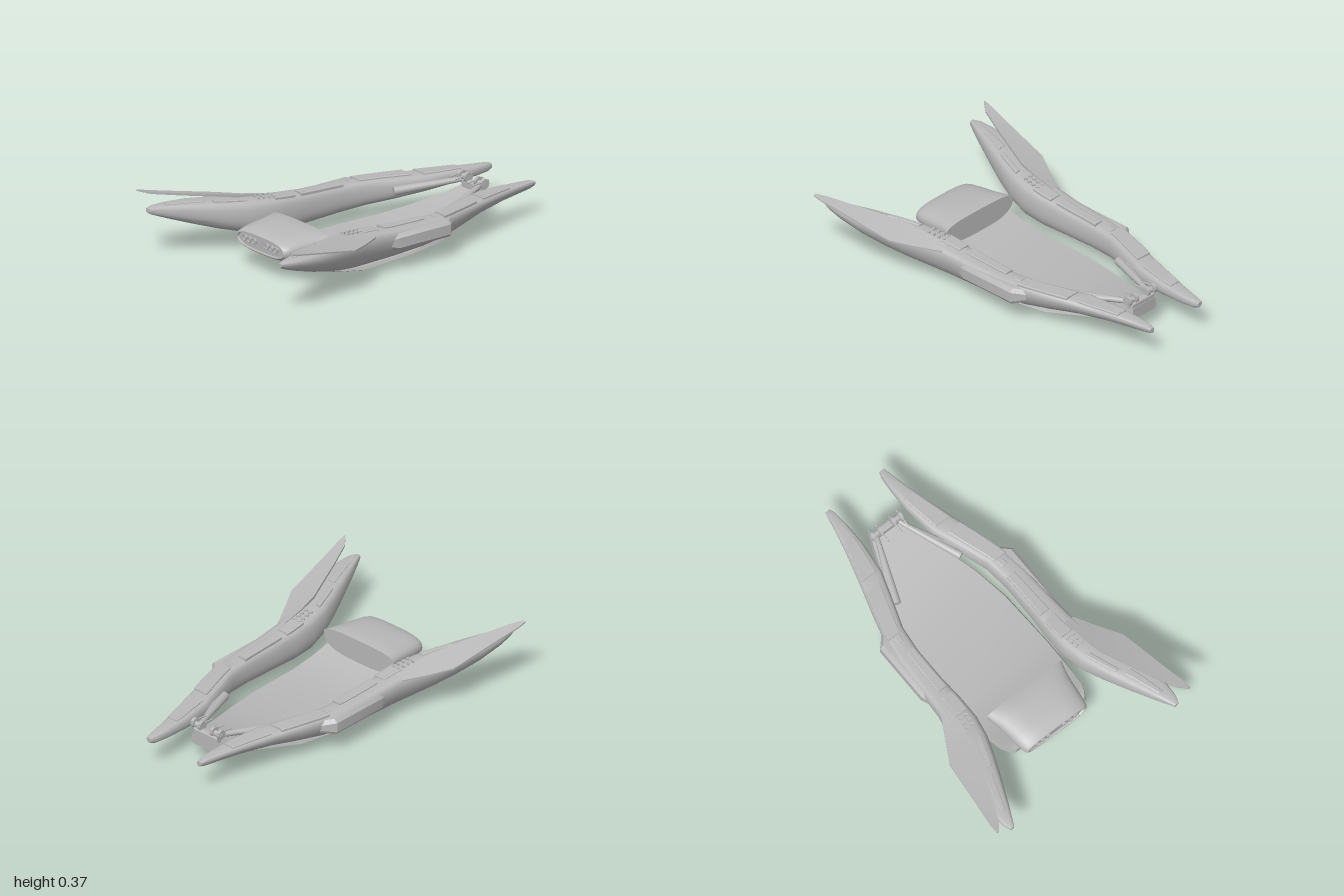
import * as THREE from 'three';
import { toCreasedNormals } from 'three/addons/utils/BufferGeometryUtils.js';
import { RoundedBoxGeometry } from 'three/addons/geometries/RoundedBoxGeometry.js';

const hullGrey = new THREE.MeshStandardMaterial({ color: 0xb8b8b8 });

function mesh(name, geometry) {
  const m = new THREE.Mesh(geometry, hullGrey);
  m.name = name;
  return m;
}

// Skin over closed rings (counter-clockwise seen from +z), capped at both ends
function loft(rings, crease = 0.6) {
  const n = rings[0].length, idx = [];
  const pos = rings.flat(2);
  for (let i = 0; i < rings.length - 1; i++) {
    for (let j = 0; j < n; j++) {
      const a = i * n + j, b = i * n + (j + 1) % n;
      idx.push(a, b, b + n, a, b + n, a + n);
    }
  }
  const last = (rings.length - 1) * n;
  for (let j = 1; j < n - 1; j++) {
    idx.push(0, j + 1, j, last, last + j, last + j + 1);
  }
  const g = new THREE.BufferGeometry();
  g.setAttribute('position', new THREE.Float32BufferAttribute(pos, 3));
  g.setIndex(idx);
  return toCreasedNormals(g, crease);
}

// Linear lookup in a table whose rows start with z
function rowAt(table, z) {
  let i = 0;
  while (i < table.length - 2 && z > table[i + 1][0]) i++;
  const t = (z - table[i][0]) / (table[i + 1][0] - table[i][0]);
  return table[i].map((v, k) => v + (table[i + 1][k] - v) * t);
}

// Straight round bar between two points
function rod(name, a, b, r1, r2 = r1, sides = 14) {
  const p = new THREE.Vector3(...a), q = new THREE.Vector3(...b);
  const d = q.clone().sub(p);
  const g = new THREE.CylinderGeometry(r2, r1, d.length(), sides);
  g.applyQuaternion(new THREE.Quaternion().setFromUnitVectors(new THREE.Vector3(0, 1, 0), d.clone().normalize()));
  const c = p.add(q).multiplyScalar(0.5);
  g.translate(c.x, c.y, c.z);
  return mesh(name, g);
}

// Mirror image across x = 0 with corner order kept outward
function mirrored(m) {
  const g = m.geometry.index ? m.geometry.toNonIndexed() : m.geometry.clone();
  g.scale(-1, 1, 1);
  for (const attr of Object.values(g.attributes)) {
    const s = attr.itemSize, arr = attr.array;
    for (let i = 0; i < attr.count; i += 3) {
      for (let k = 0; k < s; k++) {
        const a = (i + 1) * s + k, b = (i + 2) * s + k;
        [arr[a], arr[b]] = [arr[b], arr[a]];
      }
    }
  }
  return mesh(m.name, g);
}

// Pod stations: z, inner x, outer x, bottom, top
const POD = [
  [-1, 0.165, 0.195, 0.16, 0.188], [-0.97, 0.155, 0.203, 0.15, 0.194],
  [-0.88, 0.148, 0.222, 0.142, 0.2], [-0.75, 0.147, 0.255, 0.135, 0.207],
  [-0.56, 0.168, 0.31, 0.12, 0.215], [-0.4, 0.222, 0.36, 0.1, 0.219],
  [-0.25, 0.275, 0.4, 0.085, 0.221], [-0.1, 0.292, 0.422, 0.075, 0.222],
  [0.1, 0.292, 0.432, 0.067, 0.23], [0.25, 0.285, 0.442, 0.064, 0.244],
  [0.38, 0.287, 0.47, 0.07, 0.257], [0.5, 0.312, 0.51, 0.092, 0.267],
  [0.62, 0.358, 0.545, 0.124, 0.276], [0.75, 0.415, 0.575, 0.165, 0.285],
  [0.88, 0.475, 0.583, 0.21, 0.289], [0.96, 0.514, 0.576, 0.24, 0.289],
  [1, 0.535, 0.562, 0.258, 0.284],
];
const podShape = new THREE.CatmullRomCurve3([
  [0.1, 0.93], [0, 0.6], [0.03, 0.22], [0.18, 0.03], [0.42, 0], [0.74, 0.14],
  [0.93, 0.42], [1, 0.75], [0.92, 0.95], [0.65, 1], [0.35, 1],
].map(([u, v]) => new THREE.Vector3(u, v, 0)), true).getPoints(32).slice(0, 32);

function podRing(z) {
  const [, xi, xo, yb, yt] = rowAt(POD, z);
  return podShape.map(p => [xi + (xo - xi) * p.x, yb + (yt - yb) * p.y, z]);
}

// Raised cover following the pod's top between two width fractions
function topPlate(z0, z1, u0, u1, height) {
  const rings = [];
  for (let i = 0; i <= 6; i++) {
    const z = z0 + (z1 - z0) * i / 6;
    const [, xi, xo, , yt] = rowAt(POD, z);
    const a = xi + (xo - xi) * u0, b = xi + (xo - xi) * u1, y = yt + height;
    rings.push([[a, yt - 0.02, z], [b, yt - 0.02, z], [b, y - 0.003, z], [b - 0.006, y, z], [a + 0.006, y, z], [a, y - 0.003, z]]);
  }
  return mesh('podTopPlate', loft(rings, 0.4));
}

function sideParts() {
  const parts = [mesh('pod', loft(POD.map(r => podRing(r[0]))))];

  // Covers along the pod's back
  for (const p of [
    [-0.8, -0.57, 0.22, 0.9, 0.006], [-0.51, -0.23, 0.28, 0.92, 0.008],
    [-0.22, -0.18, 0.35, 0.65, 0.004], [-0.12, 0.16, 0.15, 0.55, 0.01],
    [0.2, 0.33, 0.15, 0.6, 0.007], [0.49, 0.66, 0.2, 0.36, 0.006],
    [0.7, 0.9, 0.28, 0.55, 0.005],
  ]) parts.push(topPlate(...p));

  // Small vent teeth at the wing root
  for (let i = 0; i < 4; i++) {
    for (let k = 0; k < 2; k++) {
      const g = new THREE.BoxGeometry(0.02, 0.012, 0.012);
      g.rotateY(0.5);
      g.translate(0.335 + k * 0.035 + i * 0.004, 0.257 + i * 0.003, 0.32 + i * 0.032);
      parts.push(mesh('ventTooth', g));
    }
  }

  // Bulged fairing on the pod's outer flank
  const fairing = [[-0.29, 0.39], [-0.23, 0.446], [0.11, 0.446], [0.17, 0.425]].map(([z, xo], i) => {
    const e = i % 3 ? 0 : 0.012;
    return [[0.34, 0.125 + e, z], [xo - 0.012, 0.125 + e, z], [xo, 0.14 + e, z],
      [xo, 0.195 - e, z], [xo - 0.02, 0.215 - e, z], [0.34, 0.217 - e, z]];
  });
  parts.push(mesh('sideFairing', loft(fairing, 0.5)));

  // Swept wing blade: z, inner x, inner y, outer x, outer y
  const wing = [
    [0.27, 0.39, 0.249, 0.44, 0.235], [0.4, 0.4, 0.268, 0.512, 0.242],
    [0.52, 0.42, 0.288, 0.58, 0.258], [0.8, 0.53, 0.328, 0.62, 0.317],
    [0.94, 0.59, 0.349, 0.642, 0.347], [0.995, 0.634, 0.365, 0.645, 0.361],
  ].map(([z, xi, yi, xo, yo]) => {
    const t = 0.022 - 0.012 * z;
    return [[xi, yi - t, z], [xo, yo - 0.008, z], [xo, yo, z], [xi, yi, z]];
  });
  parts.push(mesh('wing', loft(wing, 0.3)));

  // Rear strut and its hinge
  parts.push(rod('strut', [0.075, 0.19, -0.72], [0.215, 0.16, -0.38], 0.014, 0.024));
  parts.push(rod('strutSleeve', [0.11, 0.185, -0.64], [0.232, 0.158, -0.4], 0.014, 0.02));
  parts.push(rod('hingeBarrel', [0.035, 0.2, -0.74], [0.105, 0.2, -0.74], 0.016));
  for (const x of [0.043, 0.092]) {
    parts.push(rod('hingeDisc', [x - 0.009, 0.205, -0.74], [x + 0.009, 0.205, -0.74], 0.027));
    parts.push(rod('hingePin', [x, 0.222, -0.77], [x, 0.21, -0.66], 0.004));
  }

  // Exhaust rings in the engine face
  for (const x of [0.052, 0.09, 0.128]) {
    const ring = new THREE.TorusGeometry(0.014, 0.003, 8, 24);
    ring.translate(x, 0.17, 0.69);
    parts.push(mesh('exhaustRing', ring));
    parts.push(rod('exhaustCore', [x, 0.17, 0.66], [x, 0.17, 0.687], 0.014, 0.014, 20));
  }
  return parts;
}

// Curved deck plate: z, half width, bottom, top
function deck() {
  const rows = [
    [-0.77, 0.09, 0.1, 0.165], [-0.65, 0.135, 0.07, 0.118], [-0.45, 0.205, 0.04, 0.07],
    [-0.3, 0.255, 0.015, 0.042], [-0.1, 0.29, 0.01, 0.03], [0.23, 0.305, 0, 0.024],
    [0.38, 0.298, 0.022, 0.05], [0.48, 0.288, 0.045, 0.085], [0.56, 0.275, 0.058, 0.12],
    [0.605, 0.255, 0.075, 0.14], [0.635, 0.235, 0.1, 0.14],
  ];
  return mesh('deck', loft(rows.map(([z, w, b, t]) => [
    [-w + 0.02, b, z], [w - 0.02, b, z], [w, b + 0.008, z],
    [w - 0.008, t, z], [-w + 0.008, t, z], [-w, b + 0.008, z],
  ]), 0.45));
}

// Front engine housing with a recessed face: z, half width, bottom, widest y, top
function engine() {
  const rows = [
    [0.415, 0.25, 0.1, 0.195, 0.234], [0.44, 0.242, 0.1, 0.19, 0.239], [0.5, 0.228, 0.1, 0.178, 0.24],
    [0.6, 0.218, 0.1, 0.166, 0.234], [0.65, 0.212, 0.103, 0.163, 0.226], [0.68, 0.204, 0.11, 0.162, 0.216],
    [0.69, 0.193, 0.118, 0.163, 0.209], [0.69, 0.187, 0.123, 0.164, 0.205], [0.68, 0.184, 0.125, 0.164, 0.203],
  ];
  return mesh('engineHousing', loft(rows.map(([z, w, b, m, t]) => {
    const ring = [];
    for (let i = 0; i < 48; i++) {
      const a = i / 48 * Math.PI * 2, c = Math.cos(a), s = Math.sin(a);
      const x = Math.sign(c) * w * Math.abs(c) ** 0.6;
      ring.push([x, m + Math.sign(s) * Math.abs(s) ** 0.85 * (s > 0 ? t - m : m - b), z]);
    }
    return ring;
  })));
}

export function createModel() {
  const model = new THREE.Group();
  model.name = 'twinPodCraft';
  model.add(deck(), engine());

  // Cross block carrying the rear hinges
  const block = new RoundedBoxGeometry(0.17, 0.05, 0.04, 2, 0.01);
  block.translate(0, 0.165, -0.745);
  model.add(mesh('hingeBlock', block));

  const left = new THREE.Group(), right = new THREE.Group();
  left.name = 'leftSide';
  right.name = 'rightSide';
  for (const part of sideParts()) {
    left.add(part);
    right.add(mirrored(part));
  }
  model.add(left, right);
  return model;
}
